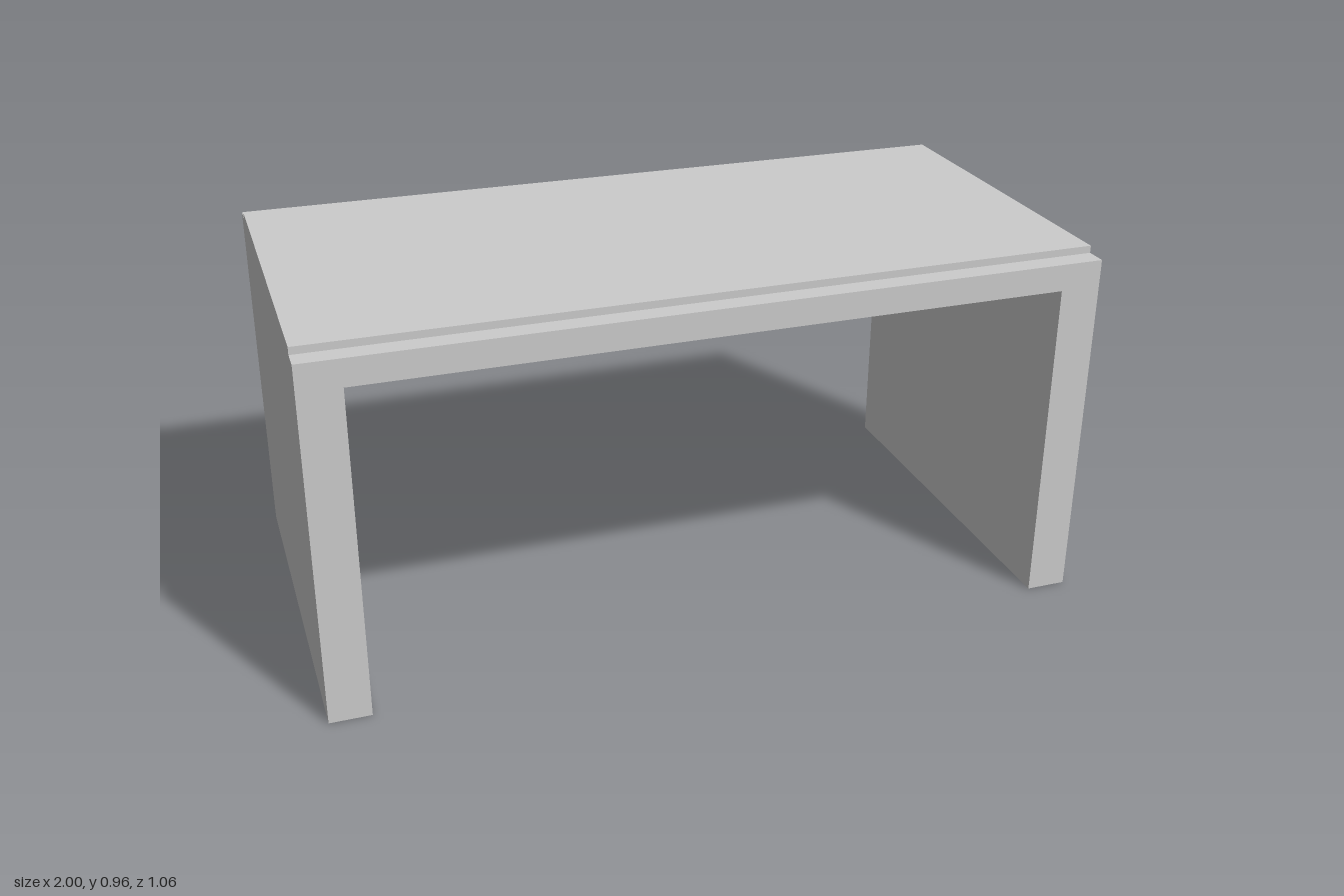
import * as THREE from 'three';

const material = new THREE.MeshStandardMaterial({ color: 0xcccccc, flatShading: true });

// Extrude an outline to z = -1..1, then scale z so the half depth
// runs evenly from the right end (x = -1) to the left end (x = 1).
function taperedPart(name, points, halfRight, halfLeft) {
  const shape = new THREE.Shape(points.map(([x, y]) => new THREE.Vector2(x, y)));
  const geometry = new THREE.ExtrudeGeometry(shape, { depth: 2, bevelEnabled: false });
  geometry.translate(0, 0, -1);
  const p = geometry.attributes.position;
  for (let i = 0; i < p.count; i++) {
    const half = THREE.MathUtils.lerp(halfRight, halfLeft, (p.getX(i) + 1) / 2);
    p.setZ(i, p.getZ(i) * half);
  }
  geometry.computeVertexNormals();
  const mesh = new THREE.Mesh(geometry, material);
  mesh.name = name;
  return mesh;
}

export function createModel() {
  const group = new THREE.Group();
  group.name = 'portalFrame';

  const inner = 0.894, underside = 0.868, ledge = 0.938, top = 0.957;

  // Two side walls joined by the deck
  group.add(taperedPart('wallsAndDeck', [
    [-1, 0], [-inner, 0], [-inner, underside], [inner, underside],
    [inner, 0], [1, 0], [1, ledge], [-1, ledge],
  ], 0.529, 0.522));

  // Thin raised slab, set back to leave a ledge at front and back
  group.add(taperedPart('raisedTop', [
    [-1, ledge], [1, ledge], [1, top], [-1, top],
  ], 0.475, 0.467));

  return group;
}
